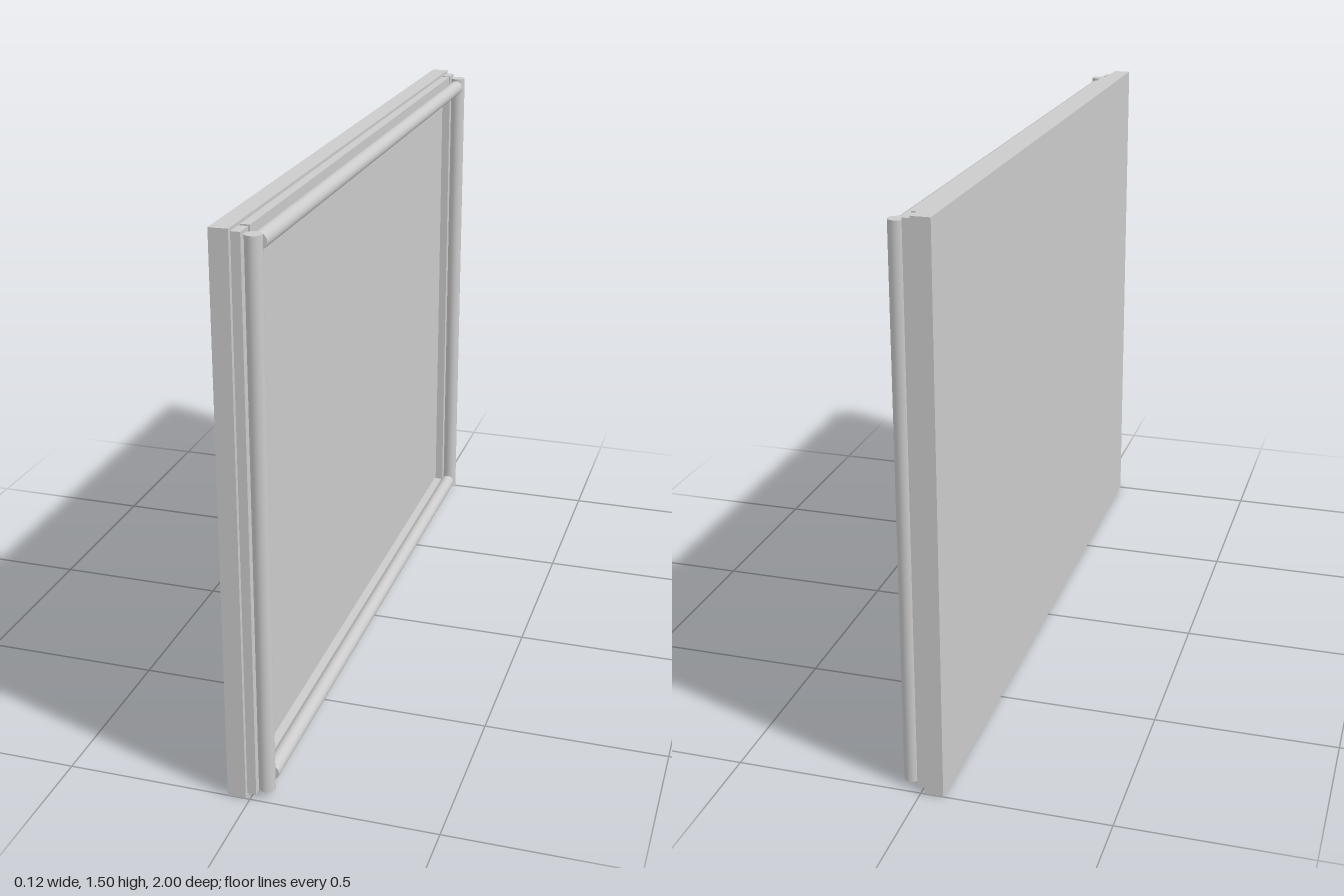
import * as THREE from 'three';

export function createModel() {
  const group = new THREE.Group();
  const mat = new THREE.MeshStandardMaterial({ color: 0xcccccc });

  function add(name, geometry, x, y, z, alongZ = false) {
    const mesh = new THREE.Mesh(geometry, mat);
    mesh.name = name;
    mesh.position.set(x, y, z);
    if (alongZ) mesh.rotation.x = Math.PI / 2;
    group.add(mesh);
  }

  const H = 1.505, mid = H / 2;
  const tubeR = 0.0215, tubeX = 0.0345;

  // Flat backing panel
  add('panel', new THREE.BoxGeometry(0.049, H, 2), -0.0355, mid, 0);

  // Mounting strips and round rails along all four edges
  const postStrip = new THREE.BoxGeometry(0.024, 1.488, 0.05);
  const post = new THREE.CylinderGeometry(tubeR, tubeR, 1.47, 32);
  const railStrip = new THREE.BoxGeometry(0.024, 0.046, 1.85);
  const rail = new THREE.CylinderGeometry(tubeR, tubeR, 1.865, 32);
  for (const s of [-1, 1]) {
    add('sideStrip', postStrip, 0.001, mid, s * 0.963);
    add('sideTube', post, tubeX, mid, s * 0.963);
    add('edgeStrip', railStrip, 0.001, mid + s * 0.721, 0);
    add('edgeTube', rail, tubeX, mid + s * 0.709, 0, true);
  }
  return group;
}
